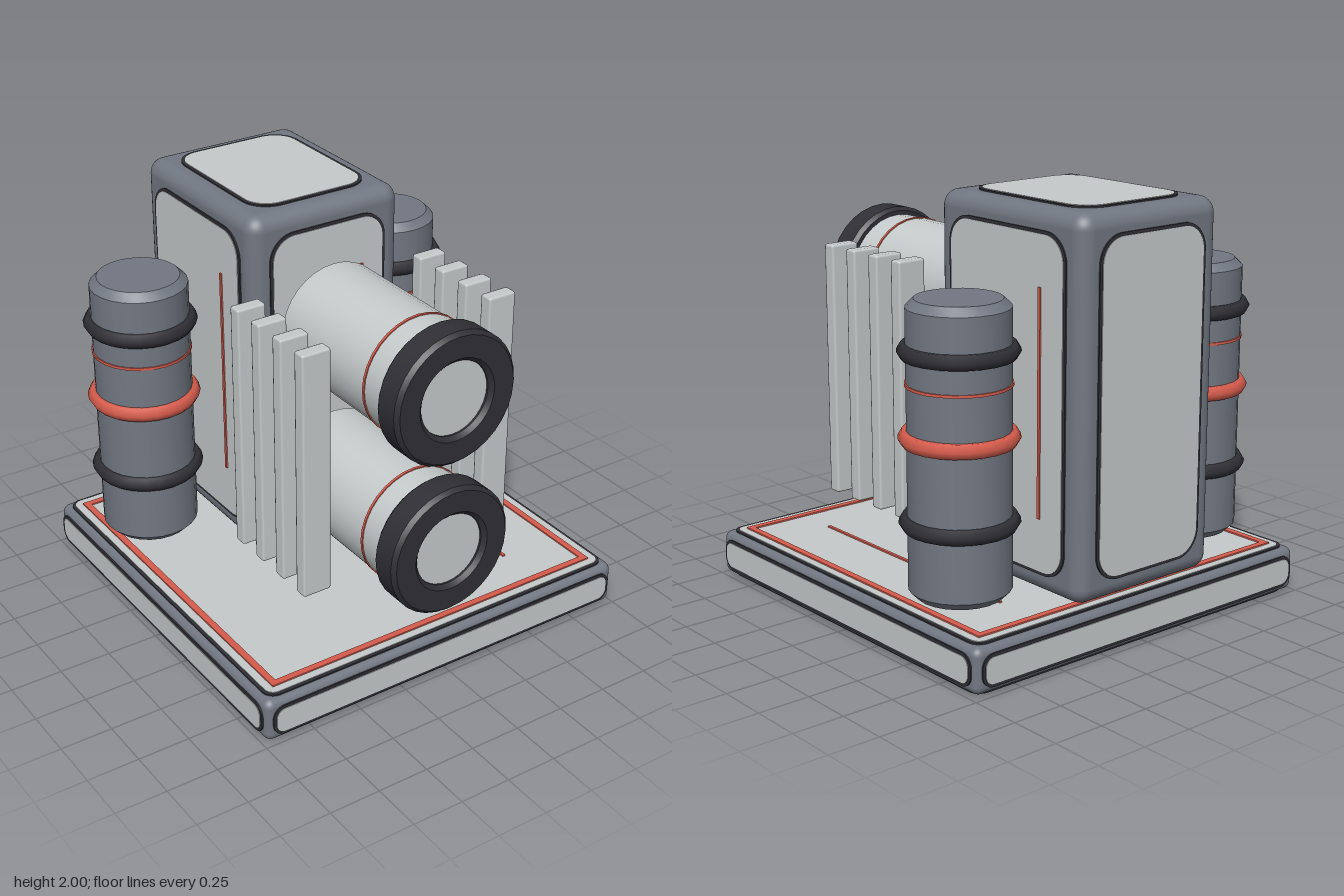
import * as THREE from 'three';
import { toCreasedNormals } from 'three/addons/utils/BufferGeometryUtils.js';
import { RoundedBoxGeometry } from 'three/addons/geometries/RoundedBoxGeometry.js';

const material = (name, color) => {
  const m = new THREE.MeshStandardMaterial({ color });
  m.name = name;
  return m;
};

export function createModel() {
  const model = new THREE.Group();
  model.name = 'reactorUnit';
  const frame = material('slateGrey', 0x717782);
  const light = material('paleGrey', 0xc5cacb);
  const dark = material('charcoal', 0x2f2f35);
  const red = material('coralRed', 0xd65c4c);

  const add = (parent, name, geometry, mat, x = 0, y = 0, z = 0) => {
    const mesh = new THREE.Mesh(geometry, mat);
    mesh.name = name;
    mesh.position.set(x, y, z);
    parent.add(mesh);
    return mesh;
  };
  const group = (name, x = 0, y = 0, z = 0) => {
    const g = new THREE.Group();
    g.name = name;
    g.position.set(x, y, z);
    model.add(g);
    return g;
  };
  const lathe = (points, sides = 24) => toCreasedNormals(
    new THREE.LatheGeometry(points.map(([r, y]) => new THREE.Vector2(r, y)), sides), 0.5);

  // Rounded rectangle, used for panels and outlines
  const roundedRect = (w, h, r) => {
    const s = new THREE.Shape();
    const x = w / 2, y = h / 2;
    s.absarc(x - r, y - r, r, 0, Math.PI / 2);
    s.absarc(-x + r, y - r, r, Math.PI / 2, Math.PI);
    s.absarc(-x + r, -y + r, r, Math.PI, Math.PI * 1.5);
    s.absarc(x - r, -y + r, r, Math.PI * 1.5, Math.PI * 2);
    s.closePath();
    return s;
  };
  const plate = (w, h, r, depth) => new THREE.ExtrudeGeometry(
    roundedRect(w, h, r), { depth, bevelEnabled: false, curveSegments: 6 });

  // Rounded block with an outlined inset panel on all six faces
  const panelledBlock = (name, [w, h, d], radius, inset, corner, centre) => {
    const g = group(name, ...centre);
    add(g, 'shell', new RoundedBoxGeometry(w, h, d, 4, radius), frame);
    const q = Math.PI / 2;
    const faces = [
      ['front', w, h, d, 0, 0], ['back', w, h, d, 0, 2 * q],
      ['left', d, h, w, 0, q], ['right', d, h, w, 0, -q],
      ['top', w, d, h, -q, 0], ['bottom', w, d, h, q, 0],
    ];
    for (const [side, a, b, depth, rx, ry] of faces) {
      const face = new THREE.Group();
      face.name = side + 'Panel';
      face.rotation.set(rx, ry, 0);
      g.add(face);
      const pw = a - 2 * inset, ph = b - 2 * inset;
      const r = Math.min(corner, ph / 2 - 0.005);
      add(face, 'outline', plate(pw + 0.03, ph + 0.03, r + 0.015, 0.007), dark, 0, 0, depth / 2);
      add(face, 'panel', plate(pw, ph, r, 0.009), light, 0, 0, depth / 2 + 0.001);
    }
    return g;
  };

  // Base slab with a red border and guide line
  panelledBlock('base', [1.98, 0.215, 1.98], 0.04, 0.046, 0.045, [0, 0.1175, 0]);
  const border = roundedRect(1.81, 1.81, 0.002);
  border.holes.push(roundedRect(1.745, 1.745, 0.002));
  const borderMesh = add(model, 'baseBorder',
    new THREE.ExtrudeGeometry(border, { depth: 0.008, bevelEnabled: false, curveSegments: 1 }),
    red, 0, 0.234, 0);
  borderMesh.rotation.x = -Math.PI / 2;
  add(model, 'baseGuideLine', new THREE.BoxGeometry(0.015, 0.009, 1.32), red, 0.58, 0.238, 0);

  // Central tower with thin vertical lines
  panelledBlock('tower', [0.82, 1.735, 0.97], 0.075, 0.11, 0.115, [0, 1.1225, -0.5]);
  add(model, 'frontLine', new THREE.BoxGeometry(0.015, 1.04, 0.009), red, 0.18, 1.13, -0.002);
  add(model, 'leftLine', new THREE.BoxGeometry(0.009, 1.04, 0.015), red, 0.422, 1.13, -0.73);
  add(model, 'rightLine', new THREE.BoxGeometry(0.009, 1.04, 0.015), red, -0.422, 1.13, -0.27);

  // Two forward barrels with dark end collars
  const barrel = lathe([[0, 0], [0.25, 0], [0.285, 0.04], [0.285, 0.85],
    [0.182, 0.85], [0.182, 0.955], [0, 0.955]], 32);
  const collar = lathe([[0.18, 0.83], [0.305, 0.83], [0.323, 0.85], [0.323, 0.965],
    [0.305, 0.985], [0.2, 0.985], [0.18, 0.965], [0.18, 0.83]], 32);
  const band = lathe([[0.28, 0.684], [0.29, 0.684], [0.29, 0.697], [0.28, 0.697]], 32);
  for (const [name, y] of [['lowerBarrel', 0.655], ['upperBarrel', 1.427]]) {
    const g = group(name, 0, y, 0);
    g.rotation.x = Math.PI / 2;
    add(g, 'barrelBody', barrel, light);
    add(g, 'barrelCollar', collar, dark);
    add(g, 'barrelBand', band, red);
  }

  // Mirrored canisters and cooling fins
  const canister = lathe([[0, 0.275], [0.195, 0.275], [0.232, 0.312], [0.232, 1.578],
    [0.195, 1.615], [0, 1.615]]);
  const ring = new THREE.TorusGeometry(0.232, 0.038, 6, 24).rotateX(Math.PI / 2);
  const thinBand = lathe([[0.228, 1.234], [0.238, 1.234], [0.238, 1.247], [0.228, 1.247]]);
  const fin = new RoundedBoxGeometry(0.148, 1.23, 0.07, 1, 0.012);
  for (const [side, s] of [['left', 1], ['right', -1]]) {
    const g = group(side + 'Canister', s * 0.71, 0, -0.538);
    add(g, 'canisterBody', canister, frame);
    add(g, 'lowerRing', ring, dark, 0, 0.62, 0);
    add(g, 'middleRing', ring, red, 0, 1.003, 0);
    add(g, 'upperRing', ring, dark, 0, 1.388, 0);
    add(g, 'thinBand', thinBand, red);

    const fins = group(side + 'Fins', s * 0.5, 1.045, 0);
    for (let i = 0; i < 4; i++) add(fins, 'fin', fin, light, 0, 0, 0.095 + i * 0.174);
  }
  return model;
}
